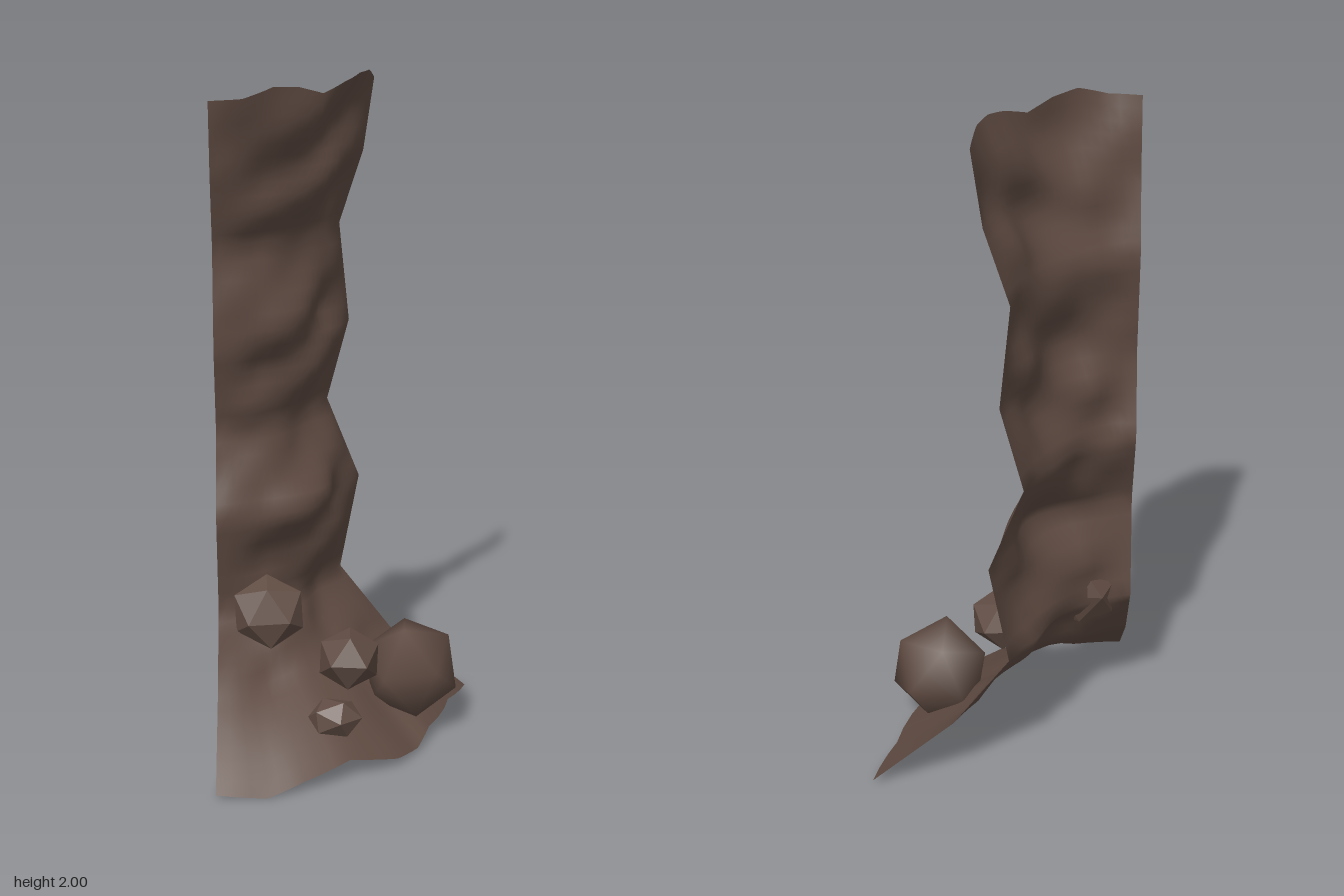
import * as THREE from 'three';
import { mergeVertices } from 'three/addons/utils/BufferGeometryUtils.js';

const rockBrown = new THREE.MeshStandardMaterial({ color: 0x5f4b42 });
rockBrown.name = 'rockBrown';
rockBrown.side = THREE.DoubleSide;
const facetedBrown = rockBrown.clone();
facetedBrown.flatShading = true;

// The wall is a quarter turn about this vertical axis.
const AXIS = -0.385;
// Height, radius, and how far the middle is set back, from foot to top.
const PROFILE = [[0.02, 0.77, 0], [0.22, 0.53, 0.055], [0.43, 0.37, 0.04], [0.73, 0.428, 0.02],
  [0.98, 0.33, 0.02], [1.23, 0.397, 0.025], [1.53, 0.368, 0.025], [1.75, 0.44, 0.025], [1.965, 0.472, 0.01]];
// Uneven foot: angle in degrees, radius, height.
const FOOT = [[90, 0.77, 0.015], [79, 0.786, 0.005], [71, 0.773, 0.035], [59, 0.755, 0.065],
  [47, 0.778, 0.03], [38, 0.755, 0.015], [31, 0.738, 0.045], [13, 0.724, 0.04], [0, 0.77, 0.018]];
// Height of the top edge, left to right.
const TOP = [[1.96], [1.965], [1.993], [1.985], [1.96], [1.985], [2.0], [1.998], [1.965]];

function sample(table, t) {
  const f = THREE.MathUtils.clamp(t, 0, 1) * (table.length - 1);
  const i = Math.min(Math.floor(f), table.length - 2);
  return table[i].map((a, k) => THREE.MathUtils.lerp(a, table[i + 1][k], f - i));
}

// Mostly horizontal ledges that vanish at both side edges.
function ledges(u, y) {
  return 0.014 * Math.sin(21 * y + 1.8 * Math.sin(5 * u) - 2.6)
    + 0.009 * Math.sin(9 * u + 13 * y) + 0.006 * Math.sin(33 * y - 8 * u)
    - 0.012 * Math.sin(Math.PI * u * u);
}

function cliffGeometry() {
  const geo = new THREE.PlaneGeometry(1, 1, 24, 48);
  const pos = geo.attributes.position;
  for (let i = 0; i < pos.count; i++) {
    const u = pos.getX(i) + 0.5, v = pos.getY(i) + 0.5;
    let [y, r, setBack] = sample(PROFILE, v);
    const [footAngle, footR, footY] = sample(FOOT, u);
    const foot = Math.max(0, 1 - v * 4), crest = Math.max(0, v * 8 - 7);
    const middle = Math.min(1, 5.5 * u * (1 - u));
    r += middle * (ledges(u, y) * Math.min(1, v * 5) - setBack) + (footR - 0.77) * foot;
    y += (footY - 0.02) * foot + (sample(TOP, u)[0] - 1.965) * crest;
    const angle = THREE.MathUtils.degToRad(THREE.MathUtils.lerp(90 * (1 - u), footAngle, foot));
    pos.setXYZ(i, AXIS + r * Math.cos(angle), y, AXIS + r * Math.sin(angle));
  }
  geo.computeVertexNormals();
  return geo;
}

// Twenty-sided boulder with one face turned towards +z, then rolled and tilted.
function boulder(name, size, position, roll, tilt, smooth) {
  let geo = new THREE.IcosahedronGeometry(1, 0);
  const diagonal = new THREE.Vector3(1, 1, 1).normalize();
  geo.applyQuaternion(new THREE.Quaternion().setFromUnitVectors(diagonal, new THREE.Vector3(0, 0, 1)));
  geo.rotateZ(roll);
  geo.scale(...size);
  geo.rotateX(tilt);
  if (smooth) {
    geo.deleteAttribute('normal');
    geo.deleteAttribute('uv');
    geo = mergeVertices(geo, 1e-4);
    geo.computeVertexNormals();
  }
  const mesh = new THREE.Mesh(geo, smooth ? rockBrown : facetedBrown);
  mesh.name = name;
  mesh.position.set(...position);
  return mesh;
}

export function createModel() {
  const model = new THREE.Group();
  model.name = 'cliffCorner';
  const cliff = new THREE.Mesh(cliffGeometry(), rockBrown);
  cliff.name = 'cliffWall';
  model.add(cliff);
  // Boulders resting on the foot of the cliff
  model.add(
    boulder('largeBoulder', [0.152, 0.158, 0.158], [0.193, 0.213, -0.075], -0.5, 0.2, true),
    boulder('upperBoulder', [0.117, 0.113, 0.06], [-0.235, 0.425, -0.005], 0.45, -0.25, false),
    boulder('middleBoulder', [0.1, 0.094, 0.1], [0.003, 0.302, 0.066], 0.35, -0.4, false),
    boulder('smallBoulder', [0.083, 0.055, 0.066], [-0.04, 0.172, 0.2], 0.1, 0.5, false),
  );
  return model;
}
